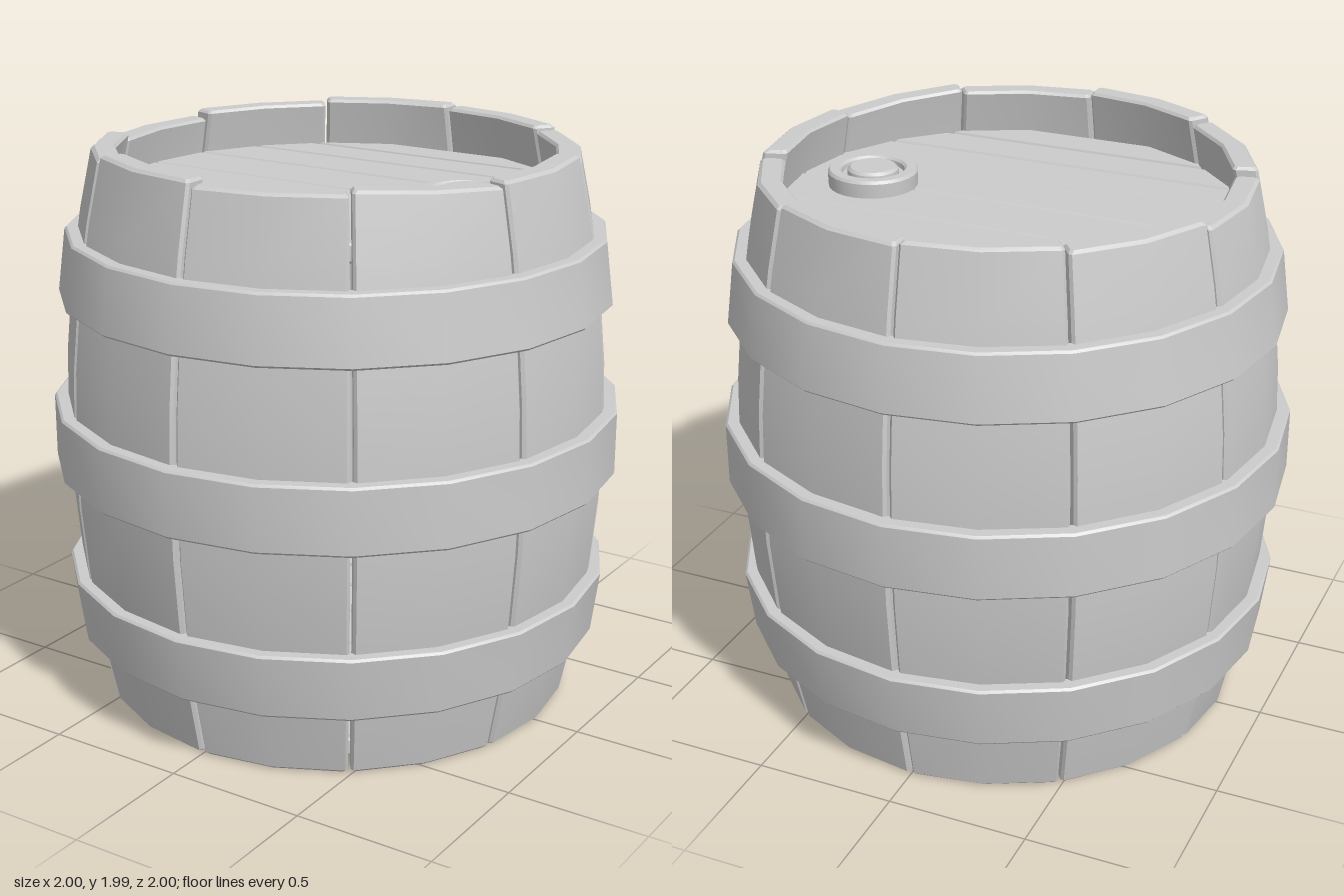
import * as THREE from 'three';
import { toCreasedNormals } from 'three/addons/utils/BufferGeometryUtils.js';

const STEP = Math.PI / 5; // ten staves, two facets each
const THICK = 0.085;
const CHAMFER = 0.01;
const GAP = 0.005;

// Bulging outer radius of the barrel at height y
const radiusAt = (y) => 0.955 - 0.12 * ((y - 0.985) / 0.985) ** 2;

// One stave: a chamfered two-facet cross-section swept up the bulge;
// the top may tilt from height topA to topB
function staveGeometry(index, topA, topB) {
  const a0 = index * STEP, a1 = a0 + STEP, mid = (a0 + a1) / 2;
  const levels = [0, CHAMFER, 0.25, 0.5, 0.75, 1, 1.25, 1.5, 1.75, 'shoulder', 'top'];
  const rings = levels.map((level, i) => {
    const e = i === 0 || level === 'top' ? CHAMFER : 0;
    const point = (inner, depth, angle) => {
      const top = THREE.MathUtils.lerp(topA, topB, (angle - a0) / STEP);
      const y = level === 'top' ? top : level === 'shoulder' ? top - CHAMFER : level;
      const R = radiusAt(y);
      const r = inner ? R - THICK + depth + e : R - depth - e;
      return [r * Math.sin(angle), y, r * Math.cos(angle)];
    };
    const s = (GAP + e) / 0.9, c = s + CHAMFER / 0.9;
    return [
      point(false, CHAMFER, a0 + s), point(false, 0, a0 + c), point(false, 0, mid),
      point(false, 0, a1 - c), point(false, CHAMFER, a1 - s),
      point(true, CHAMFER, a1 - s), point(true, 0, a1 - c), point(true, 0, mid),
      point(true, 0, a0 + c), point(true, CHAMFER, a0 + s),
    ];
  });
  const pos = [];
  const quad = (a, b, c, d) => pos.push(...a, ...b, ...c, ...a, ...c, ...d);
  for (let i = 0; i < rings.length - 1; i++) {
    const lo = rings[i], hi = rings[i + 1];
    for (let j = 0; j < 10; j++) {
      const k = (j + 1) % 10;
      quad(lo[j], lo[k], hi[k], hi[j]);
    }
  }
  const bottom = rings[0], top = rings[rings.length - 1];
  for (let j = 0; j < 4; j++) {
    quad(top[j], top[j + 1], top[8 - j], top[9 - j]);
    quad(bottom[9 - j], bottom[8 - j], bottom[j + 1], bottom[j]);
  }
  const geo = new THREE.BufferGeometry();
  geo.setAttribute('position', new THREE.Float32BufferAttribute(pos, 3));
  return toCreasedNormals(geo, 0.5);
}

// Twenty-sided iron band with softened outer edges
function hoopGeometry(y0, y1, r0, r1) {
  const b = 0.008, depth = 0.06;
  const profile = [
    [r0 - depth, y0], [r0 - b, y0], [r0, y0 + b], [r1, y1 - b],
    [r1 - b, y1], [r1 - depth, y1], [r0 - depth, y0],
  ].map(([r, y]) => new THREE.Vector2(r, y));
  return toCreasedNormals(new THREE.LatheGeometry(profile, 20), 0.5);
}

// Board of a round head, between z0 and z1, ends following the circle
function plankGeometry(z0, z1, radius, thickness) {
  const bevel = 0.008, inset = 0.012, right = [], left = [], n = 5;
  for (let i = 0; i <= n; i++) {
    const z = THREE.MathUtils.lerp(z0 + inset, z1 - inset, i / n);
    const x = Math.sqrt(Math.max(radius * radius - z * z, 0.0004));
    right.push(new THREE.Vector2(x, z));
    left.unshift(new THREE.Vector2(-x, z));
  }
  const geo = new THREE.ExtrudeGeometry(new THREE.Shape([...right, ...left]), {
    depth: thickness - 2 * bevel, bevelEnabled: true,
    bevelThickness: bevel, bevelSize: bevel, bevelSegments: 1,
  });
  return geo.rotateX(Math.PI / 2).translate(0, -bevel, 0); // top face on y = 0
}

export function createModel() {
  const model = new THREE.Group();
  model.name = 'barrel';
  const material = new THREE.MeshStandardMaterial({ color: 0xcccccc });
  const add = (name, geometry, parent = model) => {
    const mesh = new THREE.Mesh(geometry, material);
    mesh.name = name;
    parent.add(mesh);
    return mesh;
  };
  const group = (name) => {
    const g = new THREE.Group();
    g.name = name;
    model.add(g);
    return g;
  };

  // Staves, with slightly uneven tops
  const staves = group('staves');
  const tops = [
    [1.97, 1.97], [1.983, 1.957], [1.97, 1.97], [1.95, 1.955], [1.97, 1.97],
    [1.98, 1.98], [1.965, 1.965], [1.94, 1.94], [1.965, 1.965], [1.985, 1.985],
  ];
  tops.forEach(([a, b], i) => add('stave', staveGeometry(i, a, b), staves));

  // Hoops
  add('lowerHoop', hoopGeometry(0.245, 0.478, 0.94, 0.968));
  add('middleHoop', hoopGeometry(0.847, 1.082, 1.0, 1.0));
  add('upperHoop', hoopGeometry(1.452, 1.685, 0.968, 0.94));

  // Planked heads
  const seams = [-0.76, -0.61, -0.44, -0.235, 0.003, 0.228, 0.437, 0.605, 0.76];
  for (const [name, y, radius] of [['topHead', 1.81, 0.79], ['bottomHead', 0.1, 0.775]]) {
    const head = group(name);
    head.position.y = y;
    for (let i = 0; i < seams.length - 1; i++) {
      add('plank', plankGeometry(seams[i], seams[i + 1], radius, 0.065), head);
    }
  }

  // Bung: raised collar around a recessed plug
  const bungProfile = [
    [0.155, -0.03], [0.157, 0.05], [0.15, 0.06], [0.118, 0.06], [0.11, 0.052],
    [0.108, 0.035], [0.09, 0.035], [0.088, 0.055], [0.078, 0.065], [0, 0.065],
  ].map(([r, y]) => new THREE.Vector2(r, y));
  const bung = add('bung', toCreasedNormals(new THREE.LatheGeometry(bungProfile, 28), 0.5));
  bung.position.set(0.51, 1.81, 0);

  return model;
}
